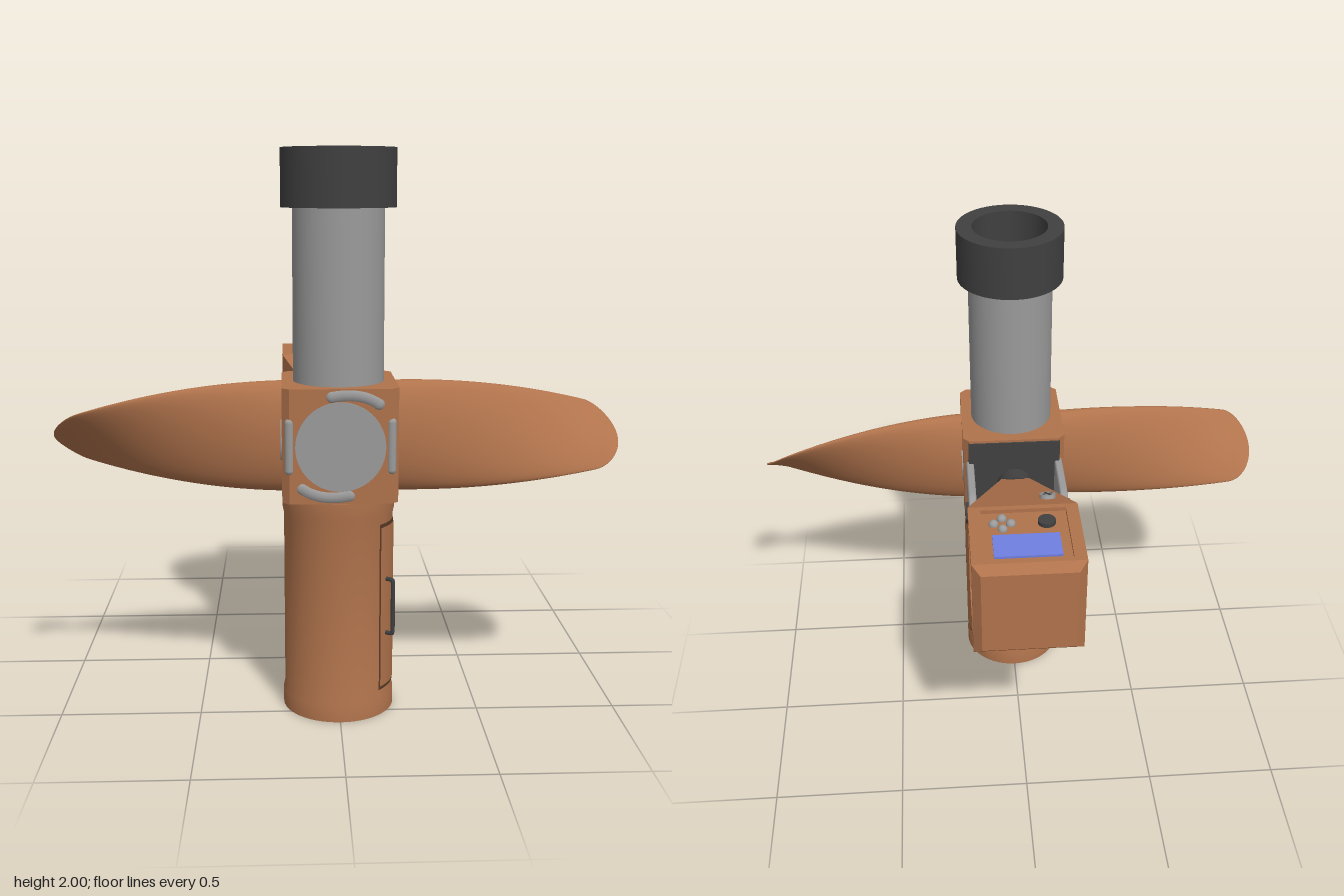
import * as THREE from 'three';
import { toCreasedNormals } from 'three/addons/utils/BufferGeometryUtils.js';
import { ParametricGeometry } from 'three/addons/geometries/ParametricGeometry.js';

const mat = (color, extra = {}) => new THREE.MeshStandardMaterial({ color, ...extra });
const copper = mat(0xb0734c);
const copperFlat = mat(0xb0734c, { flatShading: true });
const steel = mat(0x9a9a9a);
const dark = mat(0x404040);
const blue = mat(0x6f7fe0);
const AXIS = 0.4; // z of the main column

function add(parent, name, geometry, material, x = 0, y = 0, z = 0) {
  const mesh = new THREE.Mesh(geometry, material);
  mesh.name = name;
  mesh.position.set(x, y, z);
  parent.add(mesh);
  return mesh;
}

const cyl = (r, h, n = 32) => new THREE.CylinderGeometry(r, r, h, n);

// Upright ring with a square-edged wall
function ring(outer, inner, height) {
  const s = new THREE.Shape().absarc(0, 0, outer, 0, Math.PI * 2);
  s.holes.push(new THREE.Path().absarc(0, 0, inner, 0, Math.PI * 2, true));
  const g = new THREE.ExtrudeGeometry(s, { depth: height, bevelEnabled: false, curveSegments: 48 });
  return toCreasedNormals(g.rotateX(-Math.PI / 2), 0.6);
}

// Twisted blade along +x, flattening and rounding off at the tip
function bladeGeometry() {
  return new ParametricGeometry((u, v, p) => {
    const x = 0.19 + 0.81 * Math.sin(u * Math.PI / 2);
    const t = (x - 0.19) / 0.71;
    const tip = x > 0.9 ? Math.sqrt(Math.max(1e-5, 1 - ((x - 0.9) / 0.1) ** 2)) : 1;
    const hy = 0.2 - 0.095 * t * t;
    const hz = 0.115 * Math.pow(t, 1.2);
    const len = Math.hypot(hy, hz);
    const th = Math.max(0.01, 0.062 * (1 - t) + 0.012);
    const a = -v * Math.PI * 2;
    const c = Math.cos(a) * tip, s = Math.sin(a) * th * tip / len;
    p.set(x, c * hy + s * hz, -c * hz + s * hy);
  }, 40, 40);
}

function createColumn(root) {
  const profile = [[0, 0], [0.2, 0], [0.2, 0.06], [0.195, 0.08], [0.195, 0.72], [0.2, 0.745], [0.2, 0.8], [0, 0.8]];
  const body = new THREE.LatheGeometry(profile.map(([r, y]) => new THREE.Vector2(r, y)), 64);
  add(root, 'lowerBody', toCreasedNormals(body, 0.6), copper, 0, 0, AXIS);
  add(root, 'upperTube', ring(0.16, 0.14, 0.6), steel, 0, 1.2, AXIS);
  add(root, 'tubeCollar', ring(0.2, 0.14, 0.2), dark, 0, 1.8, AXIS);

  // Hub block with small vertical chamfers
  const w = 0.2, c = 0.025;
  const s = new THREE.Shape([[w, -w + c], [w, w - c], [w - c, w], [-w + c, w], [-w, w - c], [-w, -w + c], [-w + c, -w], [w - c, -w]]
    .map(([x, y]) => new THREE.Vector2(x, y)));
  const hub = new THREE.ExtrudeGeometry(s, { depth: 0.4, bevelEnabled: false }).rotateX(-Math.PI / 2);
  add(root, 'hub', hub, copperFlat, 0, 0.8, AXIS - 0.004);
  add(root, 'backPlate', new THREE.BoxGeometry(0.36, 0.38, 0.02), dark, 0, 1, 0.2);
}

function createDoor(root) {
  const door = new THREE.Group();
  door.name = 'door';
  door.position.z = AXIS;
  const a0 = 0.79, a1 = 2.48;
  const panel = new THREE.CylinderGeometry(0.199, 0.199, 0.59, 32, 1, true, a0 + 0.03, a1 - a0 - 0.06);
  add(door, 'doorPanel', panel, copper, 0, 0.4, 0);
  // Dark seam around the panel
  const seam = new THREE.CylinderGeometry(0.197, 0.197, 0.615, 32, 1, true, a0, a1 - a0);
  add(door, 'doorSeam', seam, mat(0x5a3a26), 0, 0.4, 0);
  // Handle: a bar bent in at both ends
  const out = (r, y) => new THREE.Vector3(r * Math.sin(1.0), y, r * Math.cos(1.0));
  const path = new THREE.CatmullRomCurve3([out(0.19, 0.3), out(0.222, 0.3), out(0.225, 0.32), out(0.225, 0.48), out(0.222, 0.5), out(0.19, 0.5)], false, 'catmullrom', 0.2);
  add(door, 'doorHandle', new THREE.TubeGeometry(path, 40, 0.008, 8), dark);
  for (const y of [0.26, 0.54]) add(door, 'hinge', cyl(0.012, 0.16, 16), steel, 0.145, y, -0.138);
  root.add(door);
}

function createHubFittings(root) {
  // Front cap and its four clips
  add(root, 'frontCap', cyl(0.155, 0.02, 48).rotateX(Math.PI / 2), steel, 0, 1, 0.593);
  for (const side of [1, -1]) {
    const clip = add(root, 'sideClip', new THREE.CapsuleGeometry(0.016, 0.165, 6, 12), steel, side * 0.175, 1, 0.588);
    clip.scale.z = 0.9;
    const curved = new THREE.QuadraticBezierCurve3(
      new THREE.Vector3(-0.03, 0.172, 0), new THREE.Vector3(0.07, 0.19, 0), new THREE.Vector3(0.13, 0.147, 0));
    const claw = new THREE.Group();
    claw.name = 'curvedClip';
    claw.position.set(0, 1, 0.59);
    add(claw, 'clipBar', new THREE.TubeGeometry(curved, 16, 0.022, 10), steel).scale.z = 0.6;
    for (const p of [curved.v0, curved.v2]) {
      add(claw, 'clipEnd', new THREE.SphereGeometry(0.022, 12, 8), steel, p.x, p.y, 0).scale.z = 0.6;
    }
    if (side < 0) claw.rotation.z = Math.PI;
    root.add(claw);

    // Blade with its root disc
    const wing = new THREE.Group();
    wing.name = side > 0 ? 'leftBlade' : 'rightBlade';
    wing.position.set(0, 1, AXIS);
    add(wing, 'blade', bladeGeometry(), copper);
    add(wing, 'rootDisc', cyl(0.1, 0.02).rotateZ(Math.PI / 2), steel, 0.195, 0, 0);
    if (side < 0) wing.rotation.z = Math.PI;
    root.add(wing);
  }
}

function createBracket(root) {
  const s = new THREE.Shape();
  s.moveTo(0.24, -0.1);
  s.lineTo(0.24, 0.1);
  s.lineTo(0, 0.1);
  s.absarc(0, 0, 0.1, Math.PI / 2, Math.PI * 1.5);
  const g = new THREE.ExtrudeGeometry(s, { depth: 0.016, bevelSize: 0.007, bevelOffset: -0.007, bevelThickness: 0.007, bevelSegments: 3, curveSegments: 24 });
  // Shape x becomes model z
  g.translate(0, 0, -0.008).rotateY(-Math.PI / 2);
  const plate = toCreasedNormals(g, 0.6);
  for (const side of [1, -1]) {
    add(root, 'bracketArm', plate, steel, side * 0.175, 1, 0);
    add(root, 'hexBolt', toCreasedNormals(cyl(0.042, 0.016, 6), 0.6).rotateZ(Math.PI / 2), dark, side * 0.194, 1, 0);
  }
  add(root, 'pivotAxle', cyl(0.04, 0.34).rotateZ(Math.PI / 2), dark, 0, 1, 0);
  add(root, 'neckJoint', cyl(0.068, 0.08).rotateX(Math.PI / 2), dark, 0, 1, 0.17);
}

function createHead(root) {
  const head = new THREE.Group();
  head.name = 'controlHead';
  head.position.y = 1;
  // Square body: narrow neck, recessed walls, chamfered back
  const profile = [[0, -0.14], [0.055, -0.14], [0.2, 0.24], [0.185, 0.24], [0.185, 0.57], [0.2, 0.57], [0.17, 0.6], [0, 0.6]];
  const body = new THREE.LatheGeometry(profile.map(([r, y]) => new THREE.Vector2(r * Math.SQRT2, y)), 4);
  body.rotateY(Math.PI / 4).rotateX(-Math.PI / 2);
  add(head, 'headBody', body, copperFlat);

  // Raised frame around each wall
  const rect = (C, x, y0, y1) => new C([[-x, y0], [x, y0], [x, y1], [-x, y1]].map(([a, b]) => new THREE.Vector2(a, b)));
  const frame = rect(THREE.Shape, 0.2, 0.24, 0.57);
  frame.holes.push(rect(THREE.Path, 0.155, 0.262, 0.548));
  const frameGeometry = new THREE.ExtrudeGeometry(frame, { depth: 0.015, bevelEnabled: false })
    .rotateX(-Math.PI / 2).translate(0, 0.185, 0);
  for (let i = 0; i < 4; i++) add(head, 'wallFrame', frameGeometry, copperFlat).rotation.z = i * Math.PI / 2;

  // Controls on the top, repeated underneath
  for (const turn of [0, Math.PI]) {
    const controls = new THREE.Group();
    controls.name = turn ? 'lowerControls' : 'upperControls';
    controls.rotation.z = turn;
    add(controls, 'screen', new THREE.BoxGeometry(0.24, 0.012, 0.125), blue, 0, 0.188, -0.463);
    add(controls, 'knob', cyl(0.032, 0.02), dark, -0.08, 0.19, -0.33);
    for (let i = 0; i < 4; i++) {
      const a = i * Math.PI / 2;
      add(controls, 'button', new THREE.SphereGeometry(0.018, 16, 10), steel, 0.08 + 0.031 * Math.cos(a), 0.187, -0.33 + 0.031 * Math.sin(a));
    }
    const screw = new THREE.Group();
    screw.name = 'screw';
    screw.position.set(-0.1, 0.17, -0.145);
    screw.rotation.x = 0.365;
    add(screw, 'screwHead', cyl(0.03, 0.016), steel);
    for (const a of [0.4, 0.4 + Math.PI / 2]) {
      add(screw, 'screwSlot', new THREE.BoxGeometry(0.044, 0.003, 0.008), dark, 0, 0.0075, 0).rotation.y = a;
    }
    controls.add(screw);
    head.add(controls);
  }
  root.add(head);
}

export function createModel() {
  const root = new THREE.Group();
  root.name = 'bladedColumnDevice';
  createColumn(root);
  createDoor(root);
  createHubFittings(root);
  createBracket(root);
  createHead(root);
  return root;
}
